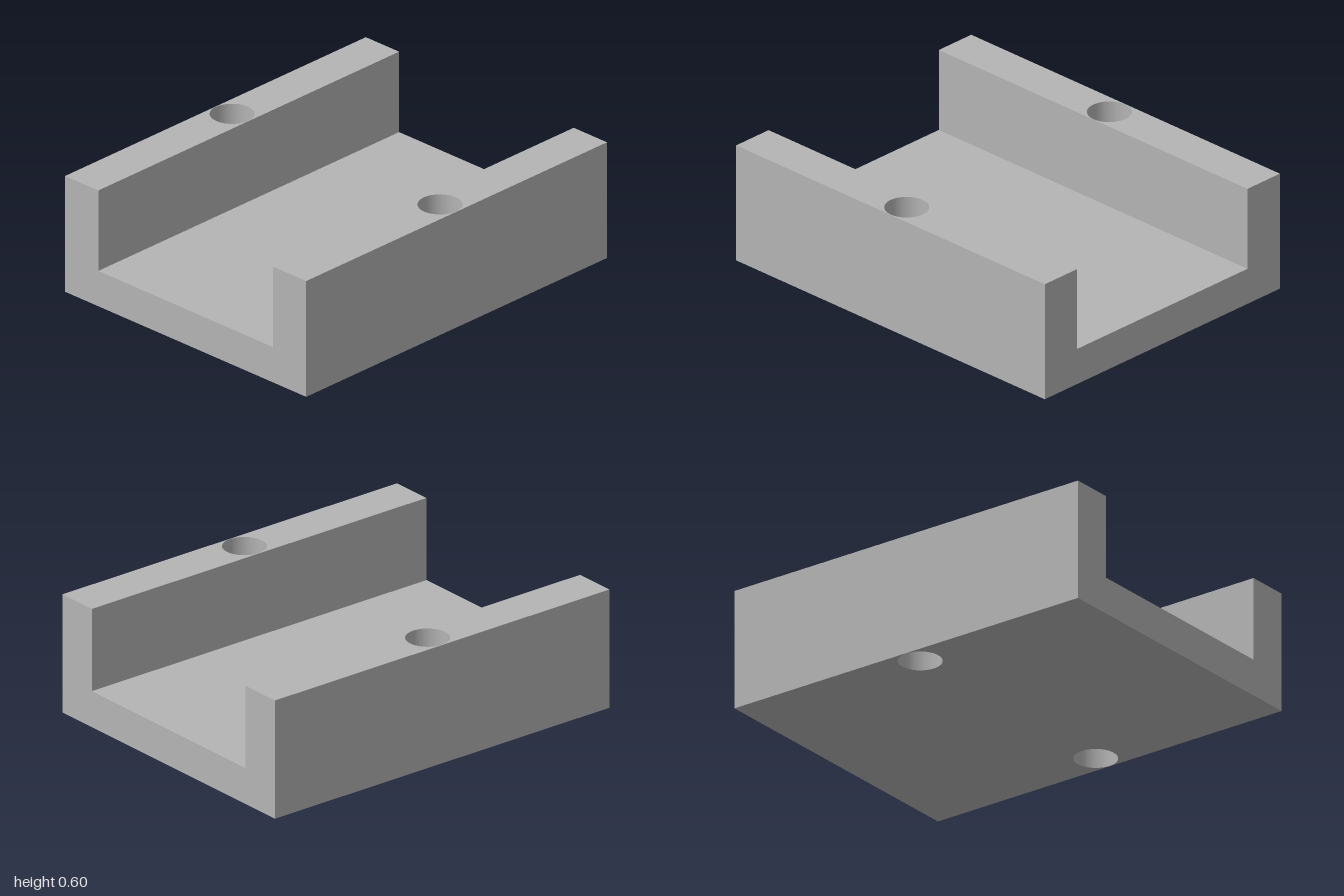
import * as THREE from 'three';
import { toCreasedNormals } from 'three/addons/utils/BufferGeometryUtils.js';

const LENGTH = 2, HEIGHT = 0.6, FLOOR = 0.183;
const OUTER = 0.779, INNER = 0.564; // wall faces, measured from the centre line
const HOLE_RADIUS = 0.104;

// Upright side wall with a round hole running through its full height
function wallGeometry() {
  const halfDepth = (OUTER - INNER) / 2;
  const outline = new THREE.Shape();
  outline.moveTo(-LENGTH / 2, -halfDepth);
  outline.lineTo(LENGTH / 2, -halfDepth);
  outline.lineTo(LENGTH / 2, halfDepth);
  outline.lineTo(-LENGTH / 2, halfDepth);
  outline.closePath();

  const hole = new THREE.Path();
  hole.absarc(0, 0, HOLE_RADIUS, 0, Math.PI * 2, true);
  outline.holes.push(hole);

  const geometry = new THREE.ExtrudeGeometry(outline, {
    depth: HEIGHT, bevelEnabled: false, curveSegments: 48,
  });
  geometry.rotateX(-Math.PI / 2);
  return toCreasedNormals(geometry, Math.PI / 6);
}

export function createModel() {
  const model = new THREE.Group();
  model.name = 'channelBlock';
  const grey = new THREE.MeshStandardMaterial({ color: 0xb4b4b4 });
  grey.name = 'plain grey';

  // Channel floor between the walls
  const floor = new THREE.Mesh(new THREE.BoxGeometry(LENGTH, FLOOR, INNER * 2), grey);
  floor.name = 'channelFloor';
  floor.position.y = FLOOR / 2;
  model.add(floor);

  // Matching front and back walls
  const geometry = wallGeometry();
  for (const [name, side] of [['frontWall', 1], ['backWall', -1]]) {
    const wall = new THREE.Mesh(geometry, grey);
    wall.name = name;
    wall.position.z = side * (OUTER + INNER) / 2;
    model.add(wall);
  }
  return model;
}
